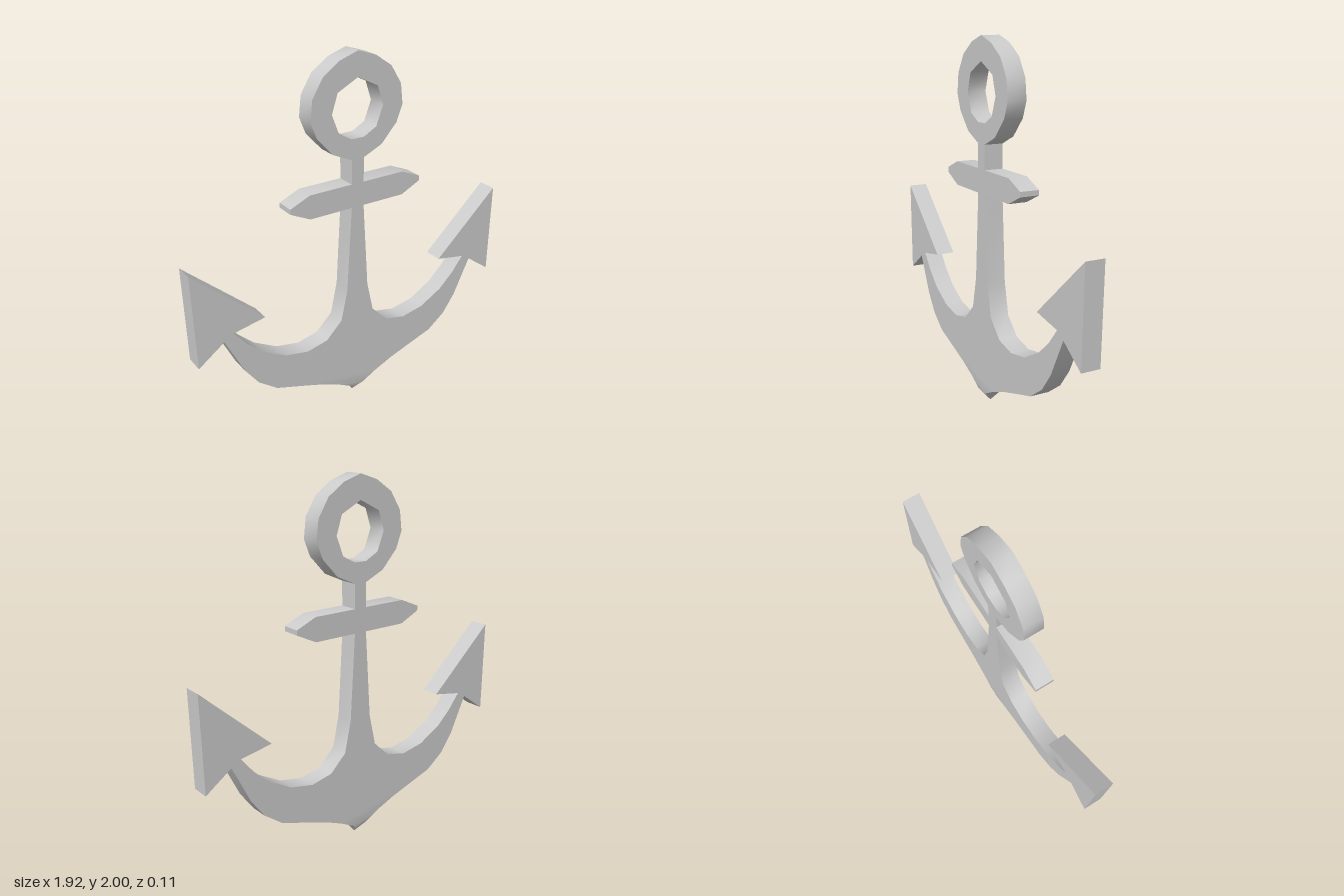
import * as THREE from 'three';
import { mergeGeometries, toCreasedNormals } from 'three/addons/utils/BufferGeometryUtils.js';

const DEPTH = 0.106;
const CREASE = THREE.MathUtils.degToRad(48);
const material = new THREE.MeshStandardMaterial({ color: 0xcccccc });

const toVectors = (points) => points.map(([x, y]) => new THREE.Vector2(x, y));
const flip = (points) => points.map(([x, y]) => [-x, y]);

// Closed symmetric outline from its right half, listed top to bottom (clockwise)
function mirrored(half) {
  const left = flip(half).filter(([x]) => x !== 0).reverse();
  return [...half, ...left];
}

// Flat plate of constant thickness, centred on z = 0; the hole runs against the outline
function plate(outline, hole) {
  const shape = new THREE.Shape(toVectors(outline));
  if (hole) shape.holes.push(new THREE.Path(toVectors(hole).reverse()));
  const geometry = new THREE.ExtrudeGeometry(shape, { depth: DEPTH, bevelEnabled: false });
  return geometry.translate(0, 0, -DEPTH / 2);
}

// Mesh with gentle corners smoothed and strong ones kept sharp
function part(name, geometry) {
  const mesh = new THREE.Mesh(toCreasedNormals(geometry, CREASE), material);
  mesh.name = name;
  return mesh;
}

export function createModel() {
  const model = new THREE.Group();
  model.name = 'anchor';

  // Ring at the top
  const ringOuter = [[0, 2], [0.105, 1.965], [0.2, 1.9], [0.262, 1.8],
    [0.275, 1.69], [0.24, 1.6], [0.148, 1.5], [0.037, 1.45]];
  const ringInner = [[0, 1.87], [0.119, 1.81], [0.153, 1.706], [0.112, 1.6], [0.037, 1.56]];
  model.add(part('ring', plate(mirrored(ringOuter), mirrored(ringInner))));

  // Neck and crossbar
  model.add(part('neck', plate(mirrored([[0.037, 1.45], [0.037, 1.317]]))));
  const crossbar = [[0.287, 1.317], [0.402, 1.268], [0.402, 1.241], [0.287, 1.186]];
  model.add(part('crossbar', plate(mirrored(crossbar))));

  // Tapering shank flowing into the arms: upper edge out to the fluke, lower edge back
  const body = [[0.037, 1.186], [0.066, 0.706], [0.105, 0.528], [0.2, 0.435], [0.323, 0.408],
    [0.457, 0.434], [0.59, 0.507], [0.68, 0.59], [0.75, 0.678], [0.805, 0.646], [0.703, 0.434],
    [0.627, 0.329], [0.52, 0.249], [0.36, 0.197], [0.24, 0.157], [0.13, 0.111], [0.04, 0.064]];

  // Pointed crown under the body: inverted four-sided pyramid
  const tip = new THREE.CylinderGeometry(Math.SQRT2, 0, 0.064, 4, 1, true);
  tip.rotateY(Math.PI / 4).scale(0.04, 1, DEPTH / 2).translate(0, 0.032, 0);
  model.add(part('shankAndArms', mergeGeometries([plate(mirrored(body)), tip.toNonIndexed()])));

  // Barbed flukes
  const fluke = [[0.75, 0.678], [0.57, 0.711], [0.961, 1.064], [0.952, 0.541], [0.805, 0.646]];
  model.add(part('leftFluke', plate(fluke)));
  model.add(part('rightFluke', plate(flip(fluke))));

  return model;
}
